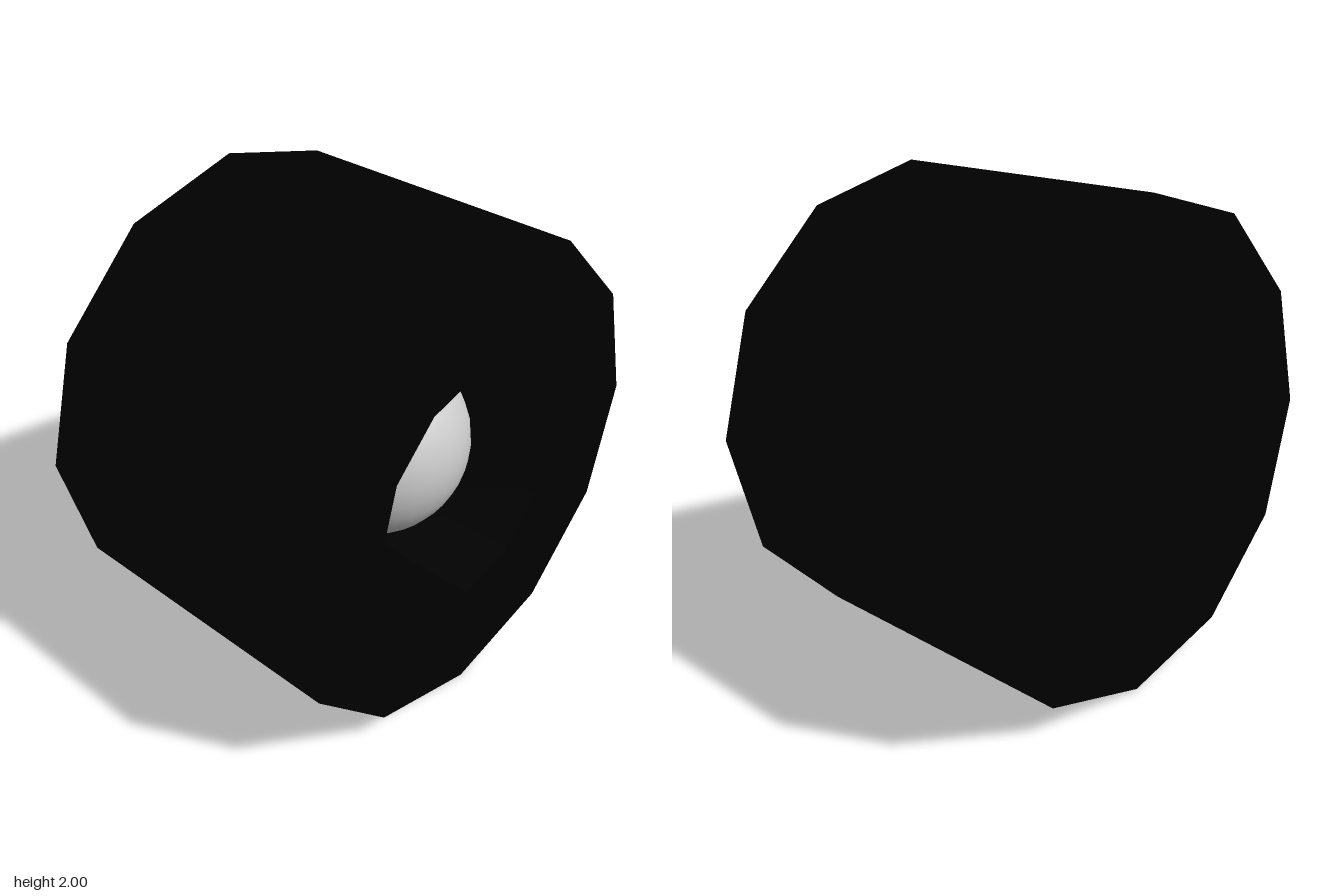
import * as THREE from 'three';

export function createModel() {
  const model = new THREE.Group();

  // Twelve-sided drum with a round recess in its front face
  const profile = [
    [0, -0.65], [1, -0.65], [1, 0.65], [0.53, 0.65], [0.53, 0], [0, 0],
  ].map(([r, z]) => new THREE.Vector2(r, z));
  const drumGeometry = new THREE.LatheGeometry(profile, 12);
  drumGeometry.rotateX(Math.PI / 2);
  const drum = new THREE.Mesh(
    drumGeometry,
    new THREE.MeshStandardMaterial({ color: 0x000000, flatShading: true })
  );
  drum.name = 'drumHousing';
  drum.position.y = 1;
  model.add(drum);

  // Smooth ball seated in the recess
  const ball = new THREE.Mesh(
    new THREE.SphereGeometry(0.4, 32, 16),
    new THREE.MeshStandardMaterial({ color: 0xcccccc })
  );
  ball.name = 'ball';
  ball.position.set(0, 1, 0.13);
  model.add(ball);

  return model;
}
